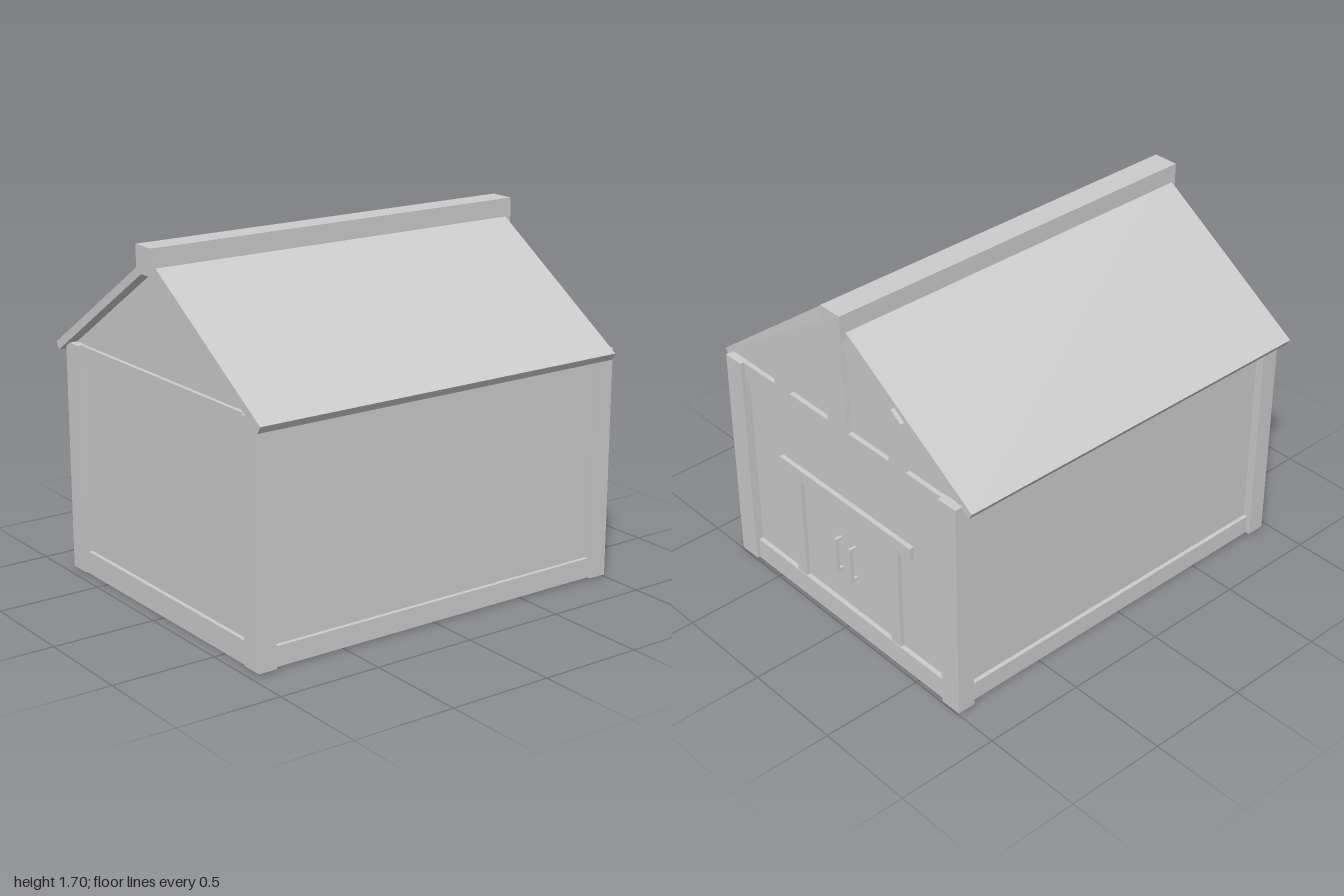
import * as THREE from 'three';

export function createModel() {
  const house = new THREE.Group();
  house.name = 'house';
  const material = new THREE.MeshStandardMaterial({ color: 0xcccccc, flatShading: true });

  const add = (name, geometry) => {
    const mesh = new THREE.Mesh(geometry, material);
    mesh.name = name;
    house.add(mesh);
    return mesh;
  };
  // Box given by its limits on each axis
  const box = (name, x0, x1, y0, y1, z0, z1) =>
    add(name, new THREE.BoxGeometry(x1 - x0, y1 - y0, z1 - z0)
      .translate((x0 + x1) / 2, (y0 + y1) / 2, (z0 + z1) / 2));
  // Outline of [z, y] points extruded along x
  const prism = (name, points, x0, x1) => {
    const shape = new THREE.Shape(points.map(([z, y]) => new THREE.Vector2(-z, y)));
    const geometry = new THREE.ExtrudeGeometry(shape, { depth: x1 - x0, bevelEnabled: false });
    return add(name, geometry.rotateY(Math.PI / 2).translate(x0, 0, 0));
  };

  // Walls with gables, and the floor under them
  prism('walls', [[-0.745, 0.005], [0.745, 0.005], [0.745, 1.125], [0, 1.61], [-0.745, 1.125]], -0.92, 0.957);
  box('floor', -0.94, 0.98, 0, 0.012, -0.755, 0.745);

  // Corner posts
  for (const [x0, x1] of [[-0.96, -0.87], [0.91, 1]]) {
    box('frontCornerPost', x0, x1, 0.01, 1.115, 0.673, 0.783);
    box('backCornerPost', x0, x1, 0.01, 1.115, -0.786, -0.676);
  }

  // Sills all round, tie beams on the gable ends only
  box('frontSill', -0.88, 0.92, 0.01, 0.105, 0.73, 0.765);
  box('backSill', -0.88, 0.92, 0.01, 0.105, -0.765, -0.73);
  for (const [x0, x1] of [[-0.94, -0.9], [0.94, 0.98]]) {
    box('endSill', x0, x1, 0.01, 0.11, -0.68, 0.68);
    box('tieBeam', x0, x1, 1.01, 1.113, -0.68, 0.68);
  }

  // Roof slabs and ridge cap
  for (const s of [-1, 1]) {
    prism('roofSlab', [[0, 1.652], [s * 0.842, 1.105], [s * 0.82, 1.071], [0, 1.604]], -0.98, 0.96);
  }
  box('ridgeCap', -1, 0.99, 1.575, 1.7, -0.064, 0.062);

  // Tapered gable struts above the door
  prism('kingPost', [[0.07, 1.11], [0.042, 1.58], [-0.042, 1.58], [-0.07, 1.11]], 0.95, 0.98);
  for (const s of [-1, 1]) {
    prism('gableStrut', [[s * 0.45, 1.11], [s * 0.428, 1.345], [s * 0.366, 1.388], [s * 0.34, 1.11]], 0.95, 0.98);
  }

  // Door frame and pull handles
  box('doorLintel', 0.95, 0.98, 0.65, 0.715, -0.46, 0.455);
  for (const s of [-1, 1]) {
    const jamb = [s * 0.308, s * 0.371].sort((a, b) => a - b);
    box('doorJamb', 0.95, 0.977, 0.1, 0.655, ...jamb);
    const grip = [s * 0.043, s * 0.058].sort((a, b) => a - b);
    box('handleBar', 0.98, 0.995, 0.295, 0.48, ...grip);
    for (const y of [0.295, 0.465]) box('handleMount', 0.95, 0.985, y, y + 0.015, ...grip);
  }

  return house;
}
